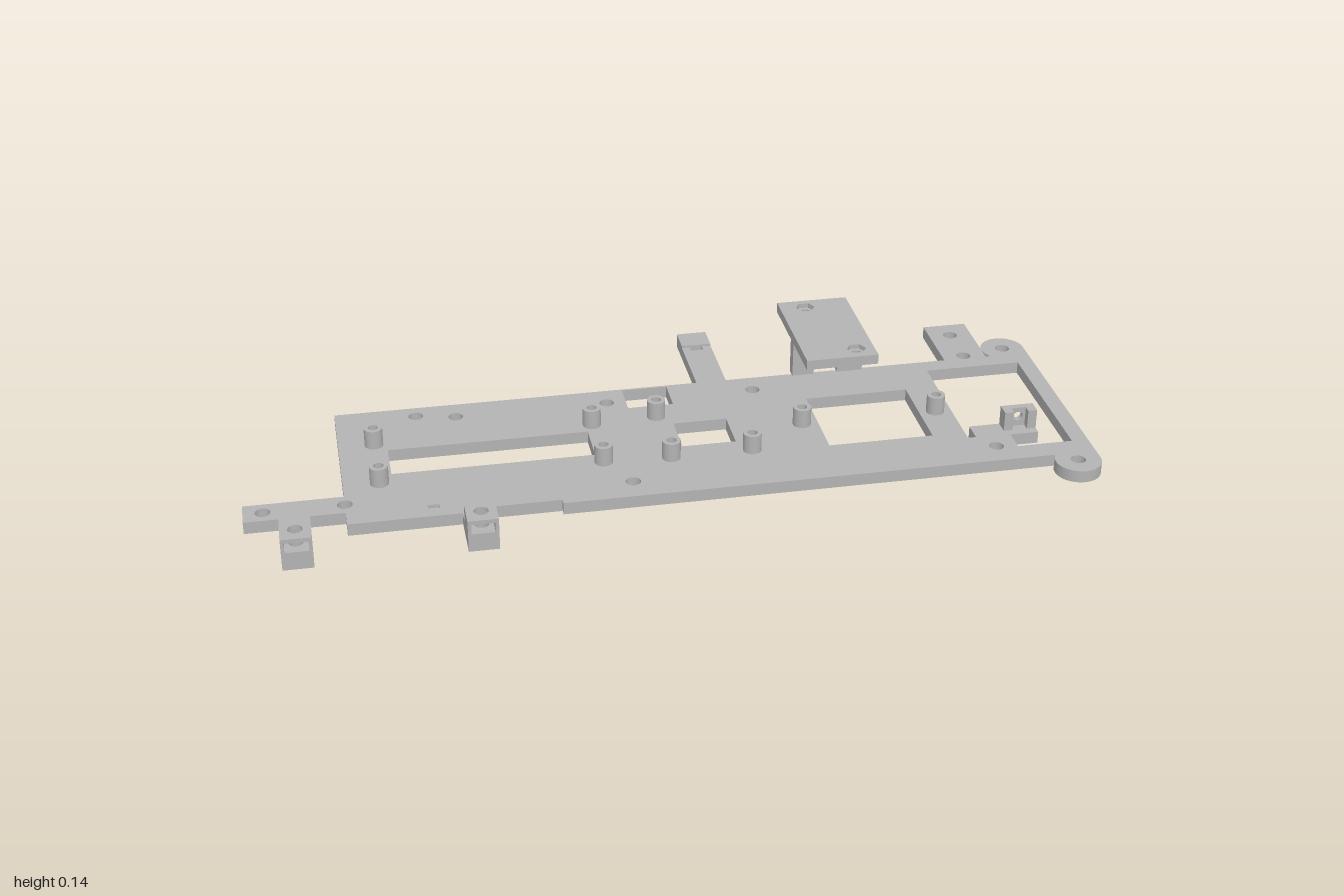
import * as THREE from 'three';

const grey = new THREE.MeshStandardMaterial({ color: 0xb3b3b3 });
grey.name = 'plain grey';

const rect = (x0, x1, z0, z1) => [[x0, z0], [x1, z0], [x1, z1], [x0, z1]];
const toShape = (pts) => new THREE.Shape(pts.map(([x, z]) => new THREE.Vector2(x, z)));
const toPath = (pts) => new THREE.Path(pts.map(([x, z]) => new THREE.Vector2(x, z)));
const ring = (x, z, r, n = 16) => toPath(Array.from({ length: n }, (_, i) => {
  const a = (i / n) * Math.PI * 2;
  return [x + r * Math.cos(a), z + r * Math.sin(a)];
}));

export function createModel() {
  const model = new THREE.Group();

  const add = (name, geometry) => {
    const mesh = new THREE.Mesh(geometry, grey);
    mesh.name = name;
    model.add(mesh);
    return mesh;
  };
  // Outline given in x and z, raised from y0 to y1
  const slab = (name, shape, holes, y0, y1) => {
    shape.holes.push(...holes);
    const g = new THREE.ExtrudeGeometry(shape, { depth: y1 - y0, bevelEnabled: false, curveSegments: 20 });
    g.rotateX(Math.PI / 2).translate(0, y1, 0);
    return add(name, g);
  };
  const box = (name, x0, x1, y0, y1, z0, z1) => add(name,
    new THREE.BoxGeometry(x1 - x0, y1 - y0, z1 - z0)
      .translate((x0 + x1) / 2, (y0 + y1) / 2, (z0 + z1) / 2));

  const T = 0.03;
  const posts = [[-0.685, -0.022], [-0.685, 0.155], [-0.16, -0.022], [-0.16, 0.155],
    [0, -0.032], [0, 0.165], [0.195, 0.165], [0.34, 0.067], [0.675, 0.067]];
  const screwHoles = [[-0.575, -0.14], [-0.48, -0.12], [-0.107, -0.12], [0.26, -0.12],
    [-0.107, 0.255], [0.77, 0.255], [-0.77, 0.235], [-0.955, 0.235],
    [0.83, -0.31], [0.83, -0.195], [0.94, -0.215], [0.94, 0.35]];

  // Base plate with arms, tabs and rounded ears
  const plate = toShape([[-0.77, -0.18], [0.13, -0.18], [0.13, -0.435], [0.205, -0.435],
    [0.205, -0.18], [0.775, -0.18], [0.775, -0.365], [0.885, -0.365], [0.885, -0.18], [0.898, -0.18]]);
  plate.absarc(0.94, -0.215, 0.055, 2.446, Math.PI * 2, false);
  plate.absarc(0.94, 0.35, 0.055, 0, 3.72, false);
  [[-0.28, 0.32], [-0.28, 0.305], [-0.44, 0.305], [-0.44, 0.362], [-0.51, 0.362], [-0.51, 0.32],
    [-0.77, 0.32], [-0.77, 0.27], [-0.85, 0.27], [-0.85, 0.362], [-0.92, 0.362], [-0.92, 0.27],
    [-1, 0.27], [-1, 0.2], [-0.77, 0.2]].forEach(([x, z]) => plate.lineTo(x, z));
  const windows = [
    rect(-0.655, -0.175, 0.01, 0.12),
    rect(-0.06, 0.052, -0.174, -0.085),
    rect(0.035, 0.165, 0.01, 0.12),
    rect(0.38, 0.635, -0.05, 0.18),
    rect(0.15, 0.182, -0.367, -0.35),
    rect(-0.585, -0.558, 0.272, 0.286),
    [[0.715, -0.135], [0.955, -0.135], [0.955, 0.265], [0.82, 0.265], [0.82, 0.21],
      [0.89, 0.21], [0.89, 0.155], [0.735, 0.155], [0.735, 0.206], [0.715, 0.206]],
  ].map(toPath);
  slab('basePlate', plate, [
    ...windows,
    ...screwHoles.map(([x, z]) => ring(x, z, 0.018)),
    ...posts.map(([x, z]) => ring(x, z, 0.012)),
  ], 0, T);

  // Hollow standoffs
  const standoff = new THREE.LatheGeometry(
    [[0.012, T], [0.022, T], [0.022, 0.077], [0.012, 0.077], [0.012, T]]
      .flatMap(([r, y]) => [[r, y], [r, y]])
      .map(([r, y]) => new THREE.Vector2(r, y)), 20);
  const crisp = new THREE.LatheGeometry([[0.022, T], [0.022, 0.077]].map((p) => new THREE.Vector2(...p)), 20);
  standoff.dispose();
  posts.forEach(([x, z]) => {
    const outer = new THREE.Shape();
    outer.absarc(0, 0, 0.022, 0, Math.PI * 2, false);
    slab('standoff', outer, [ring(0, 0, 0.012)], T, 0.077).position.set(x, 0, z);
  });
  crisp.dispose();

  // Front mounting blocks with a vertical screw hole and an open nut slot
  [-0.885, -0.475].forEach((x) => {
    const outline = () => toShape(rect(x - 0.035, x + 0.035, 0.362, 0.435));
    slab('blockBase', outline(), [ring(x, 0.395, 0.017)], 0, 0.045);
    slab('blockSlot', toShape([[x - 0.035, 0.362], [x + 0.035, 0.362], [x + 0.035, 0.435],
      [x + 0.027, 0.435], [x + 0.027, 0.382], [x, 0.368], [x - 0.027, 0.382],
      [x - 0.027, 0.435], [x - 0.035, 0.435]]), [], 0.045, 0.069);
    slab('blockTop', outline(), [ring(x, 0.395, 0.017)], 0.069, 0.079);
  });

  // Raised lip on the rear tab
  box('tabLip', 0.13, 0.205, T, 0.035, -0.435, -0.368);

  // Raised shelf with hexagonal nut recesses
  const nuts = [[0.44, -0.315], [0.51, -0.075]];
  const shelf = () => toShape(rect(0.375, 0.555, -0.352, -0.034));
  slab('shelfBottom', shelf(), nuts.map(([x, z]) => ring(x, z, 0.013)), 0.12, 0.133);
  slab('shelfTop', shelf(), nuts.map(([x, z]) => ring(x, z, 0.024, 6)), 0.133, 0.145);

  // Shelf support wall with a cable opening
  const wall = toShape([[0.375, T], [0.43, T], [0.43, 0.066], [0.49, 0.066], [0.49, T],
    [0.555, T], [0.555, 0.12], [0.375, 0.12]]);
  add('shelfSupport', new THREE.ExtrudeGeometry(wall, { depth: 0.028, bevelEnabled: false })
    .translate(0, 0, -0.2));

  // Small upright bracket beside the end window
  const upright = toShape(rect(0.81, 0.89, T, 0.079));
  upright.holes.push(ring(0.85, 0.056, 0.012));
  add('bracketUpright', new THREE.ExtrudeGeometry(upright, { depth: 0.016, bevelEnabled: false })
    .translate(0, 0, 0.155));
  [0.81, 0.868].forEach((x) => box('bracketCheek', x, x + 0.022, T, 0.079, 0.171, 0.19));

  return model;
}
